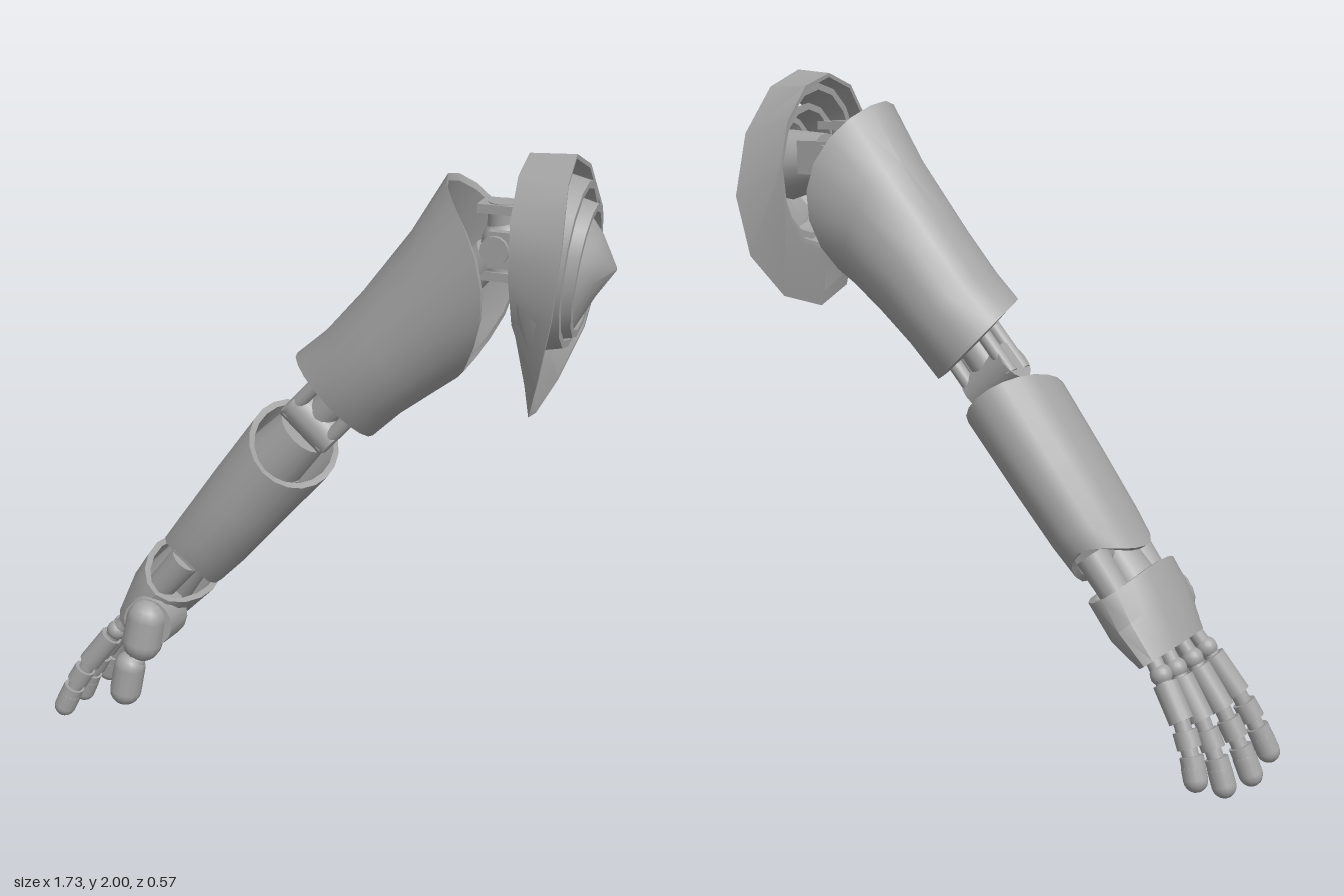
import * as THREE from 'three';
import { toCreasedNormals } from 'three/addons/utils/BufferGeometryUtils.js';

const grey = new THREE.MeshStandardMaterial({ color: 0xa3a3a3, side: THREE.DoubleSide });
grey.name = 'grey';
const V = (x, y, z) => new THREE.Vector3(x, y, z);

function add(parent, name, geometry) {
  const mesh = new THREE.Mesh(geometry, grey);
  mesh.name = name;
  parent.add(mesh);
  return mesh;
}

// Hollow shell through oval rings. Each ring: t and b are its top and bottom
// points in x,y, z its depth range; bulge and skew push its sides along the limb.
function shell(parent, name, rings, thick = 0.018, sides = 16) {
  const loop = [...rings.map(r => [r, 0]), ...[...rings].reverse().map(r => [r, thick])];
  const pos = [], idx = [];
  loop.forEach(([r, inset]) => {
    const { t, b, z, bulge = 0, skew = 0, egg = 0 } = r;
    const len = Math.hypot(t[0] - b[0], t[1] - b[1]);
    const dx = (t[0] - b[0]) / len, dy = (t[1] - b[1]) / len;
    const h = Math.max(len / 2 - inset, 0.002), w = Math.max((z[1] - z[0]) / 2 - inset, 0.002);
    for (let j = 0; j < sides; j++) {
      const a = j / sides * Math.PI * 2, c = Math.cos(a), s = Math.sin(a);
      const along = bulge * s * s + skew * s;
      pos.push((t[0] + b[0]) / 2 + dx * h * c + dy * along,
        (t[1] + b[1]) / 2 + dy * h * c - dx * along,
        (z[0] + z[1]) / 2 + w * s * (1 - egg * c));
    }
  });
  const n = loop.length;
  for (let i = 0; i < n; i++) for (let j = 0; j < sides; j++) {
    const k = (j + 1) % sides, p = i * sides, q = ((i + 1) % n) * sides;
    idx.push(p + j, p + k, q + j, p + k, q + k, q + j);
  }
  const g = new THREE.BufferGeometry();
  g.setAttribute('position', new THREE.Float32BufferAttribute(pos, 3));
  g.setIndex(idx);
  return add(parent, name, toCreasedNormals(g, 0.6));
}

// Round bar from a to b, or a round-ended one
function aim(mesh, a, b) {
  mesh.position.copy(a).lerp(b, 0.5);
  mesh.quaternion.setFromUnitVectors(V(0, 1, 0), b.clone().sub(a).normalize());
  return mesh;
}
const rod = (parent, name, a, b, ra, rb = ra) =>
  aim(add(parent, name, new THREE.CylinderGeometry(rb, ra, a.distanceTo(b), 16)), a, b);
const capsule = (parent, name, a, b, r) =>
  aim(add(parent, name, new THREE.CapsuleGeometry(r, Math.max(a.distanceTo(b) - 2 * r, 0.01), 5, 14)), a, b);
function ball(parent, name, p, r) {
  add(parent, name, new THREE.SphereGeometry(r, 16, 12)).position.copy(p);
}
function box(parent, name, p, w, h, d) {
  add(parent, name, new THREE.BoxGeometry(w, h, d)).position.copy(p);
}
function group(parent, name) {
  const g = new THREE.Group();
  g.name = name;
  parent.add(g);
  return g;
}

export function createModel() {
  const model = new THREE.Group();
  model.name = 'mechanicalArm';

  // Shoulder guard: flared skirt, collar, step and pointed dome
  const shoulder = group(model, 'shoulder');
  shell(shoulder, 'shoulderSkirt', [
    { t: [0.6, 1.99], b: [0.635, 1.44], z: [-0.235, 0.21] },
    { t: [0.73, 2.0], b: [0.66, 1.27], z: [-0.28, 0.28], bulge: 0.06, egg: 0.15 },
  ], 0.012, 12);
  shell(shoulder, 'shoulderCollar', [
    { t: [0.64, 1.96], b: [0.65, 1.45], z: [-0.21, 0.18] },
    { t: [0.765, 1.93], b: [0.735, 1.47], z: [-0.2, 0.17] },
  ], 0.02);
  shell(shoulder, 'shoulderStep', [
    { t: [0.68, 1.9], b: [0.68, 1.48], z: [-0.17, 0.14] },
    { t: [0.79, 1.87], b: [0.755, 1.5], z: [-0.155, 0.12] },
  ], 0.02);
  shell(shoulder, 'shoulderDome', [
    { t: [0.75, 1.86], b: [0.735, 1.5], z: [-0.14, 0.1] },
    { t: [0.802, 1.79], b: [0.8, 1.62], z: [-0.1, 0.06] },
    { t: [0.85, 1.705], b: [0.85, 1.695], z: [-0.025, -0.015] },
  ]);

  // Crossed shoulder joint with its forks
  const S = V(0.54, 1.74, -0.03);
  ball(shoulder, 'shoulderBall', S, 0.065);
  rod(shoulder, 'shoulderCrossPin', V(0.54, 1.74, -0.14), V(0.54, 1.74, 0.08), 0.04);
  rod(shoulder, 'shoulderUprightPin', V(0.53, 1.65, -0.03), V(0.53, 1.85, -0.03), 0.04);
  rod(shoulder, 'shoulderStem', V(0.6, 1.73, -0.02), V(0.76, 1.71, -0.02), 0.08, 0.11);
  for (const z of [-0.115, 0.055]) box(shoulder, 'shoulderSidePlate', V(0.58, 1.74, z), 0.12, 0.1, 0.025);
  for (const y of [1.65, 1.835]) box(shoulder, 'shoulderForkArm', V(0.535, y, -0.03), 0.13, 0.025, 0.09);

  // Upper arm
  const upper = group(model, 'upperArm');
  shell(upper, 'upperArmShell', [
    { t: [-0.075, 1.335], b: [0.165, 1.11], z: [-0.205, 0.13], skew: 0.05 },
    { t: [0.02, 1.42], b: [0.25, 1.195], z: [-0.21, 0.145], skew: 0.02 },
    { t: [0.13, 1.55], b: [0.35, 1.275], z: [-0.21, 0.145] },
    { t: [0.27, 1.74], b: [0.42, 1.33], z: [-0.215, 0.145], bulge: 0.05 },
    { t: [0.37, 1.91], b: [0.44, 1.355], z: [-0.225, 0.15], bulge: 0.125 },
  ], 0.02, 20);
  rod(upper, 'upperArmCore', V(0.05, 1.22, -0.05), V(0.5, 1.7, -0.03), 0.09, 0.05);

  // Elbow hinge lying across the arm, with paired links
  const elbow = group(model, 'elbow');
  const E = V(-0.03, 1.12, -0.06), u = V(0.66, 0.75, 0), v = V(0.75, -0.66, 0);
  const at = (p, q, z = 0) => E.clone().addScaledVector(u, p).addScaledVector(v, q).add(V(0, 0, z));
  rod(elbow, 'elbowHinge', at(0, -0.085), at(0, 0.085), 0.062);
  for (const q of [-0.07, 0.07]) for (const z of [-0.035, 0.035])
    rod(elbow, 'elbowLink', at(-0.03, q, z), at(0.16, q, z), 0.022);
  rod(elbow, 'elbowCore', at(0, 0), at(0.15, 0), 0.05);
  rod(elbow, 'elbowSocket', at(-0.22, 0), at(-0.05, 0), 0.1, 0.085);

  // Forearm
  const fore = group(model, 'forearm');
  shell(fore, 'forearmShell', [
    { t: [-0.515, 0.675], b: [-0.335, 0.54], z: [-0.18, 0.125], bulge: 0.075 },
    { t: [-0.46, 0.755], b: [-0.25, 0.63], z: [-0.19, 0.135], bulge: 0.025 },
    { t: [-0.34, 0.93], b: [-0.12, 0.785], z: [-0.2, 0.135] },
    { t: [-0.19, 1.14], b: [0.02, 0.95], z: [-0.2, 0.125], skew: -0.05 },
  ], 0.02, 20);
  rod(fore, 'forearmCore', V(-0.4, 0.655, -0.03), V(-0.15, 0.97, -0.05), 0.06, 0.09);

  // Wrist and palm
  const hand = group(model, 'hand');
  rod(hand, 'wristPin', V(-0.4, 0.655, -0.16), V(-0.4, 0.655, 0.11), 0.045);
  rod(hand, 'wristCore', V(-0.52, 0.5, -0.03), V(-0.4, 0.655, -0.03), 0.085, 0.065);
  for (const z of [-0.14, 0.085])
    rod(hand, 'wristFork', V(-0.5, 0.53, z), V(-0.4, 0.655, z), 0.045, 0.05);
  shell(hand, 'palm', [
    { t: [-0.613, 0.396], b: [-0.605, 0.388], z: [-0.19, 0.1] },
    { t: [-0.665, 0.43], b: [-0.56, 0.35], z: [-0.22, 0.13] },
    { t: [-0.61, 0.55], b: [-0.46, 0.4], z: [-0.225, 0.17] },
    { t: [-0.555, 0.635], b: [-0.36, 0.505], z: [-0.2, 0.17], bulge: -0.02 },
  ], 0.02);

  // Thumb
  rod(hand, 'thumbSocket', V(-0.5, 0.45, 0.08), V(-0.49, 0.46, 0.19), 0.09, 0.08);
  capsule(hand, 'thumbBase', V(-0.485, 0.535, 0.175), V(-0.515, 0.335, 0.21), 0.063);
  ball(hand, 'thumbJoint', V(-0.525, 0.335, 0.225), 0.035);
  capsule(hand, 'thumbTip', V(-0.53, 0.365, 0.225), V(-0.56, 0.185, 0.245), 0.05);

  // Fingers: knuckle, three segments and small joints, spread like a fan
  const fingers = [ // base z, tip x, tip y, tip z
    [0.095, -0.85, 0.025, 0.155], [0.005, -0.855, 0.005, 0.015],
    [-0.09, -0.83, 0.015, -0.12], [-0.17, -0.79, 0.065, -0.23],
  ];
  fingers.forEach(([bz, tx, ty, tz], i) => {
    const f = group(hand, 'finger' + (i + 1));
    const base = V(-0.615, 0.4, bz), tip = V(tx, ty, tz);
    const p = k => base.clone().lerp(tip, k).add(V(-Math.sin(k * Math.PI) * 0.025, 0, 0));
    rod(f, 'fingerRod', p(0), p(0.45), 0.024);
    rod(f, 'fingerRod', p(0.45), p(0.8), 0.024);
    ball(f, 'knuckle', p(0.12), 0.032);
    rod(f, 'fingerBase', p(0.18), p(0.46), 0.036, 0.036);
    rod(f, 'fingerMiddle', p(0.53), p(0.66), 0.035);
    rod(f, 'fingerTipCollar', p(0.72), p(0.82), 0.034);
    capsule(f, 'fingerTip', p(0.72), p(1), 0.035);
  });
  return model;
}
